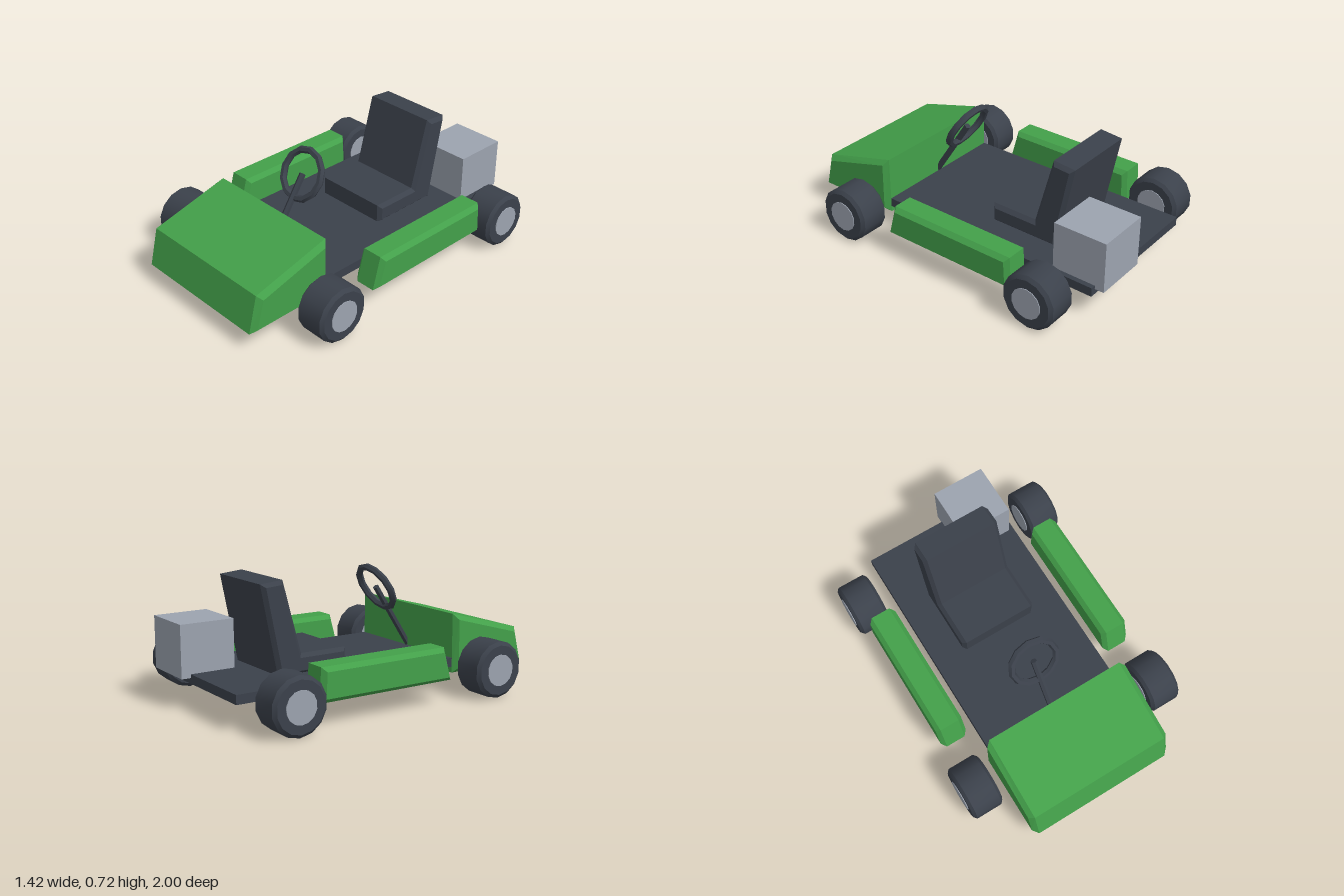
import * as THREE from 'three';
import { toCreasedNormals } from 'three/addons/utils/BufferGeometryUtils.js';

const material = (name, color) => {
  const m = new THREE.MeshStandardMaterial({ color });
  m.name = name;
  return m;
};

// Side profile of [z, y] points, spanning x0..x1, with chamfered side edges
function chamferedProfile(points, x0, x1, bevel) {
  const shape = new THREE.Shape(points.map(([z, y]) => new THREE.Vector2(z, y)));
  const depth = x1 - x0 - 2 * bevel;
  const geo = new THREE.ExtrudeGeometry(shape, {
    depth, bevelEnabled: true, bevelThickness: bevel,
    bevelSize: bevel, bevelOffset: -bevel, bevelSegments: 1,
  });
  geo.translate(0, 0, -depth / 2);
  geo.rotateY(-Math.PI / 2);
  geo.translate((x0 + x1) / 2, 0, 0);
  return geo;
}

export function createModel() {
  const green = material('body green', 0x43a04a);
  const dark = material('dark rubber', 0x3b414b);
  const grey = material('metal grey', 0x9ca3af);

  const kart = new THREE.Group();
  kart.name = 'goKart';
  const add = (name, geo, mat, parent = kart) => {
    const mesh = new THREE.Mesh(geo, mat);
    mesh.name = name;
    parent.add(mesh);
    return mesh;
  };
  const box = (x0, x1, y0, y1, z0, z1) =>
    new THREE.BoxGeometry(x1 - x0, y1 - y0, z1 - z0)
      .translate((x0 + x1) / 2, (y0 + y1) / 2, (z0 + z1) / 2);

  // Floor and engine
  add('floorPan', box(-0.43, 0.43, 0.145, 0.198, -0.945, 0.5), dark);
  add('engine', box(0.075, 0.4, 0.177, 0.477, -1, -0.677), grey);

  // Front cowl
  add('frontCowl', chamferedProfile(
    [[0.465, 0.11], [1, 0.11], [0.945, 0.327], [0.465, 0.456]], -0.46, 0.46, 0.03), green);

  // Side pods
  const podProfile = [[-0.57, 0.135], [0.295, 0.135], [0.243, 0.326], [-0.56, 0.326]];
  add('leftSidePod', chamferedProfile(podProfile, 0.478, 0.646, 0.025), green);
  add('rightSidePod', chamferedProfile(podProfile, -0.646, -0.478, 0.025), green);

  // Seat: cushion and reclined backrest in one profile
  add('seat', chamferedProfile([
    [-0.575, 0.19], [-0.14, 0.19], [-0.14, 0.305], [-0.428, 0.305],
    [-0.54, 0.717], [-0.677, 0.705],
  ], -0.243, 0.243, 0.022), dark);

  // Steering column, ending at the hub of the wheel
  const low = new THREE.Vector3(0, 0.19, 0.487);
  const hub = new THREE.Vector3(0, 0.575, 0.235);
  const dir = hub.clone().sub(low);
  const column = add('steeringColumn',
    new THREE.CylinderGeometry(0.019, 0.019, dir.length(), 6).toNonIndexed(), dark);
  column.geometry.computeVertexNormals();
  column.position.copy(low).add(hub).multiplyScalar(0.5);
  column.quaternion.setFromUnitVectors(new THREE.Vector3(0, 1, 0), dir.normalize());

  // Steering wheel rim
  const rim = add('steeringWheel',
    toCreasedNormals(new THREE.TorusGeometry(0.142, 0.021, 6, 12), 0.6), dark);
  rim.position.set(0, 0.574, 0.238);
  rim.rotation.x = -0.5;

  // Wheels: chamfered tyre with a slightly proud hub on both faces
  const tyreProfile = [
    [0.08, -0.097], [0.143, -0.097], [0.163, -0.08],
    [0.163, 0.08], [0.143, 0.097], [0.08, 0.097],
  ].map(([r, h]) => new THREE.Vector2(r, h));
  const tyreGeo = toCreasedNormals(
    new THREE.LatheGeometry(tyreProfile, 14, Math.PI / 2), 0.6).rotateZ(Math.PI / 2);
  const hubGeo = new THREE.CylinderGeometry(0.091, 0.091, 0.203, 14, 1, false, Math.PI / 2)
    .rotateZ(Math.PI / 2);
  for (const [end, z] of [['front', 0.588], ['rear', -0.73]]) {
    for (const [side, s] of [['Left', 1], ['Right', -1]]) {
      const wheel = new THREE.Group();
      wheel.name = `${end}${side}Wheel`;
      wheel.position.set(s * 0.607, 0.163, z);
      add('tyre', tyreGeo, dark, wheel);
      add('hub', hubGeo, grey, wheel);
      kart.add(wheel);
    }
  }
  return kart;
}
